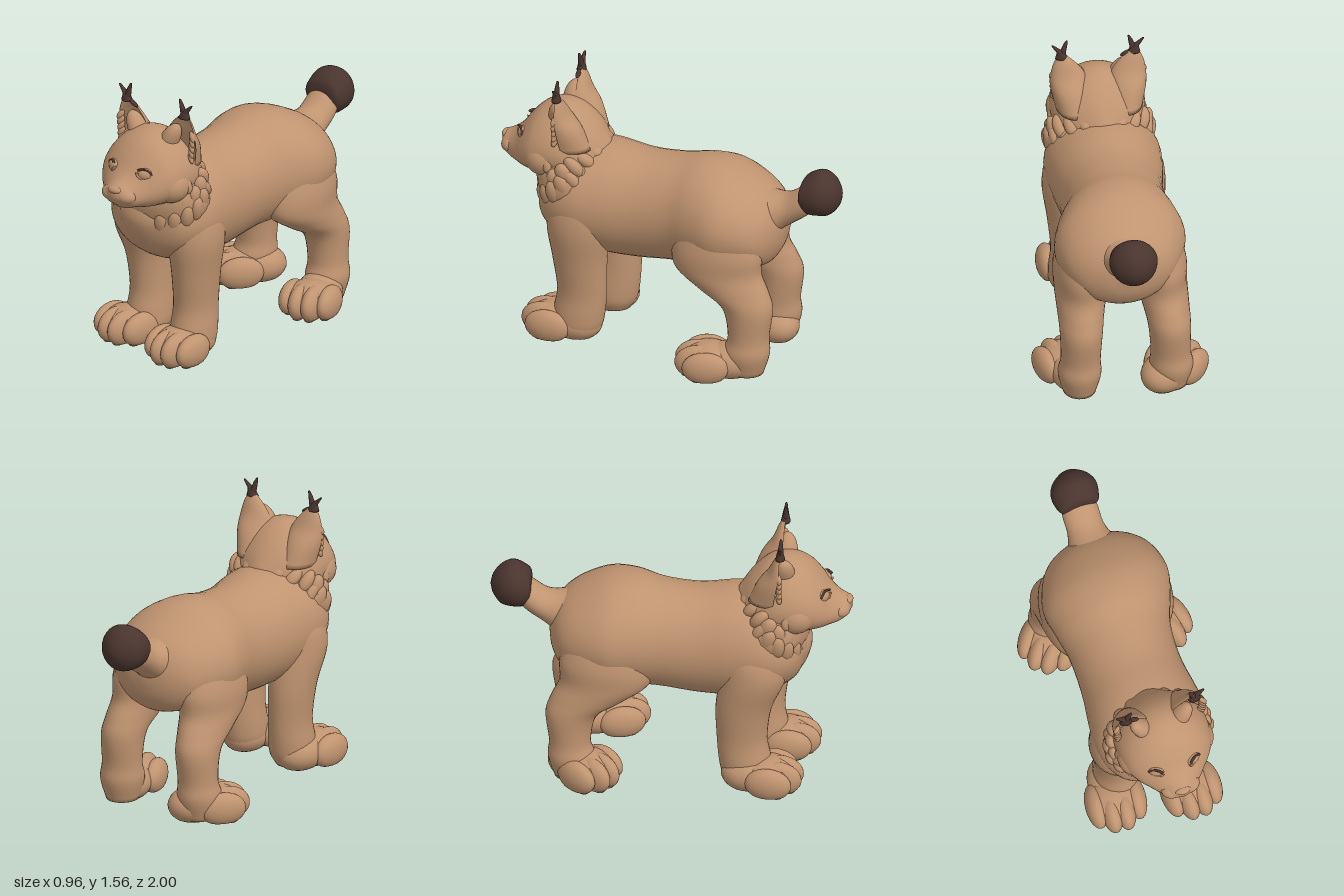
import * as THREE from 'three';

const fur = new THREE.MeshStandardMaterial({ color: 0xc09470 });
fur.name = 'tan fur';
const dark = new THREE.MeshStandardMaterial({ color: 0x4a342e });
dark.name = 'dark brown fur';

const CX = -0.045; // the head and chest stand slightly off the middle

// Smooth skin over elliptical sections [x, y, z, radiusA, radiusB].
// 'z': upright sections listed back to front. 'y': level sections listed top to bottom.
// cup pushes the front half of level sections inward, taper narrows the top of upright ones.
function loft(name, mat, axis, sections, { cup = 0, taper = 0, sides = 32 } = {}) {
  const path = new THREE.CatmullRomCurve3(sections.map(s => new THREE.Vector3(s[0], s[1], s[2])), false, 'catmullrom');
  const size = new THREE.CatmullRomCurve3(sections.map(s => new THREE.Vector3(s[3], s[4], 0)), false, 'catmullrom');
  const rows = (sections.length - 1) * 5;
  const pos = [], idx = [];
  for (let i = 0; i <= rows; i++) {
    const c = path.getPoint(i / rows), r = size.getPoint(i / rows);
    const a = Math.max(r.x, 0.001), b = Math.max(r.y, 0.001);
    for (let j = 0; j < sides; j++) {
      const t = j / sides * Math.PI * 2;
      const u = a * Math.cos(t) * (1 - taper * Math.sin(t));
      let v = b * Math.sin(t);
      if (cup && v > 0) v *= -cup;
      if (axis === 'z') pos.push(c.x + u, c.y + v, c.z);
      else pos.push(c.x + u, c.y, c.z + v);
      if (i < rows) {
        const k = i * sides + j, n = i * sides + (j + 1) % sides;
        idx.push(k, n, k + sides, n, n + sides, k + sides);
      }
    }
  }
  const last = pos.length / 3;
  const s0 = path.getPoint(0), s1 = path.getPoint(1);
  pos.push(s0.x, s0.y, s0.z, s1.x, s1.y, s1.z);
  for (let j = 0; j < sides; j++) {
    const n = (j + 1) % sides, e = rows * sides;
    idx.push(last, n, j, last + 1, e + j, e + n);
  }
  const g = new THREE.BufferGeometry();
  g.setAttribute('position', new THREE.Float32BufferAttribute(pos, 3));
  g.setIndex(idx);
  g.computeVertexNormals();
  const m = new THREE.Mesh(g, mat);
  m.name = name;
  return m;
}

const sphere = new THREE.SphereGeometry(1, 24, 16);
// Sphere with a flat underside, for paws
const flatSphere = sphere.clone();
const fp = flatSphere.attributes.position;
for (let i = 0; i < fp.count; i++) fp.setY(i, Math.max(fp.getY(i), -0.8));
flatSphere.computeVertexNormals();

function ball(name, mat, p, r, rot = [0, 0, 0], geometry = sphere) {
  const m = new THREE.Mesh(geometry, mat);
  m.name = name;
  m.position.set(...p);
  m.scale.set(...r);
  m.rotation.set(...rot);
  return m;
}

// Lock of fur: a long ellipsoid laid along a direction
const UP = new THREE.Vector3(0, 1, 0);
function lock(name, p, dir, width, length) {
  const m = ball(name, fur, p, [width, length, width * 0.8]);
  m.quaternion.setFromUnitVectors(UP, new THREE.Vector3(...dir).normalize());
  return m;
}

// Four-toed paw pointing along +z, with pads underneath
function paw(name, x, z, turn) {
  const g = new THREE.Group();
  g.name = name;
  const none = [0, 0, 0];
  g.add(ball('pawHeel', fur, [0, 0.092, 0.005], [0.125, 0.105, 0.15], none, flatSphere));
  g.add(ball('pawTop', fur, [0, 0.088, 0.12], [0.155, 0.104, 0.16], none, flatSphere));
  for (const i of [-1.5, -0.5, 0.5, 1.5]) {
    const outer = Math.abs(i) > 1;
    g.add(ball('toe', fur, [i * 0.074, 0.088, outer ? 0.135 : 0.18],
      [0.06, outer ? 0.094 : 0.1, 0.13], none, flatSphere));
    g.add(ball('toePad', fur, [i * 0.07, 0.013, outer ? 0.18 : 0.235], [0.028, 0.012, 0.035]));
  }
  g.add(ball('solePad', fur, [0, 0.012, 0.08], [0.08, 0.012, 0.06]));
  g.position.set(x, 0, z);
  g.rotation.y = turn;
  return g;
}

function makeLegs() {
  const g = new THREE.Group();
  g.name = 'legs';
  for (const s of [1, -1]) {
    const side = s > 0 ? 'left' : 'right', back = s > 0 ? 0 : -0.07;
    const fx = v => -0.055 + s * (v + 0.055), hx = v => -0.01 + s * (v + 0.01);
    g.add(loft(side + 'FrontLeg', fur, 'y', [
      [0.1, 0.98, 0.47, 0.04, 0.05], [0.125, 0.86, 0.48, 0.13, 0.16], [0.14, 0.7, 0.485, 0.145, 0.18],
      [0.135, 0.5, 0.48, 0.125, 0.155], [0.125, 0.3, 0.47, 0.115, 0.14], [0.125, 0.17, 0.485, 0.123, 0.145],
      [0.125, 0.09, 0.495, 0.12, 0.14], [0.125, 0.03, 0.5, 0.09, 0.11],
    ].map(([x, y, z, a, b]) => [fx(x), y, z + back * (y < 0.6 ? 1 : 0.3), a, b])));
    g.add(paw(side + 'FrontPaw', s > 0 ? 0.125 : -0.275, 0.5 + back, s > 0 ? 0 : -0.1));
    g.add(loft(side + 'HindLeg', fur, 'y', [
      [0.14, 1.02, -0.35, 0.05, 0.08], [0.175, 0.9, -0.35, 0.13, 0.2], [0.205, 0.75, -0.35, 0.15, 0.255],
      [0.212, 0.62, -0.355, 0.145, 0.25], [0.225, 0.52, -0.395, 0.13, 0.205], [0.235, 0.42, -0.455, 0.118, 0.145],
      [0.24, 0.25, -0.465, 0.11, 0.115], [0.245, 0.15, -0.455, 0.12, 0.13], [0.245, 0.03, -0.45, 0.09, 0.1],
    ].map(([x, y, z, a, b]) => [hx(x), y, z + (y < 0.5 ? -0.08 : y < 0.6 ? -0.05 : 0), a, b])));
    g.add(s > 0 ? paw('leftHindPaw', 0.26, -0.45, 0.28) : paw('rightHindPaw', -0.225, -0.535, -0.68));
  }
  return g;
}

function makeRuff() {
  const g = new THREE.Group();
  g.name = 'neckRuff';
  g.add(ball('neck', fur, [CX, 0.95, 0.565], [0.31, 0.23, 0.205]));
  // Two rings of locks, tilted from the nape down to the chest
  for (const [count, grow, drop, len] of [[20, 0.97, -0.01, 0.085], [18, 0.92, 0.06, 0.075]]) {
    for (let i = 0; i < count; i++) {
      const t = (i + 0.5) / count * Math.PI * 2;
      const c = Math.cos(t), f = Math.sin(t); // f = 1 at the chest, -1 at the nape
      const p = [CX + c * 0.28 * grow, 0.95 - f * 0.13 * grow + drop, 0.57 + f * 0.15 * grow];
      const n = Math.max(-f, 0), w = Math.max(f, 0);
      g.add(lock('ruffLock', p, [-c * 0.3, -1 + 0.5 * n, -0.15 - 0.8 * n - 0.2 * w], 0.05, len));
    }
  }
  // Bib of longer fur on the chest, pointed at the bottom
  g.add(loft('chestBib', fur, 'y', [
    [CX - 0.02, 0.95, 0.66, 0.12, 0.08], [CX - 0.02, 0.84, 0.665, 0.17, 0.11], [CX - 0.02, 0.73, 0.65, 0.14, 0.1],
    [CX - 0.02, 0.65, 0.62, 0.08, 0.085], [CX - 0.02, 0.59, 0.6, 0.02, 0.04],
  ]));
  for (const s of [-1, 1]) for (let i = 0; i < 3; i++)
    g.add(lock('bibLock', [CX + s * (0.1 + i * 0.05), 0.765 + i * 0.045, 0.665 - i * 0.035], [-s * 0.4, -1, -0.45], 0.055, 0.1));
  return g;
}

function makeHead() {
  const g = new THREE.Group();
  g.name = 'head';
  g.position.x = CX;
  g.add(loft('skull', fur, 'z', [
    [0, 1.08, 0.36, 0.06, 0.05], [0, 1.085, 0.45, 0.2, 0.17], [0, 1.13, 0.55, 0.25, 0.21],
    [0, 1.145, 0.65, 0.26, 0.215], [0, 1.13, 0.75, 0.245, 0.19], [0, 1.1, 0.82, 0.205, 0.15],
    [0, 1.07, 0.875, 0.155, 0.105], [0, 1.055, 0.925, 0.11, 0.078], [0, 1.06, 0.97, 0.075, 0.05], [0, 1.065, 0.992, 0.02, 0.02],
  ], { taper: 0.17 }));
  g.add(ball('nose', fur, [0, 1.09, 0.97], [0.045, 0.022, 0.027]));
  g.add(ball('chin', fur, [0, 0.995, 0.89], [0.08, 0.032, 0.05]));
  for (const s of [1, -1]) {
    g.add(ball('muzzleLobe', fur, [s * 0.045, 1.052, 0.927], [0.066, 0.046, 0.058]));
    g.add(ball('cheek', fur, [s * 0.18, 1.075, 0.69], [0.095, 0.1, 0.11]));
    // Eyes: bulging ball, lower lid and a thin dark upper lash line
    g.add(ball('eye', fur, [s * 0.107, 1.165, 0.838], [0.046, 0.036, 0.03], [0, s * 0.5, 0]));
    for (const [name, mat, tube, from, sweep, z] of [
      ['lowerLid', fur, 0.008, Math.PI, Math.PI, 0.848], ['upperLash', dark, 0.0085, 0.3, 2.2, 0.86]]) {
      const m = new THREE.Mesh(new THREE.TorusGeometry(0.043, tube, 8, 20, sweep), mat);
      m.name = name;
      m.geometry.rotateZ(s > 0 ? from : Math.PI - from - sweep);
      m.geometry.scale(1, 0.7, 1);
      m.position.set(s * 0.112, 1.17, z);
      m.rotation.set(-0.35, s * 0.65, 0);
      g.add(m);
    }
    // Cheek fur
    for (let i = 0; i < 4; i++)
      g.add(lock('cheekLock', [s * (0.235 - i * 0.022), 1.085 - i * 0.03, 0.655 + i * 0.015], [s * 0.5, -1, -0.25], 0.038, 0.065));
    // Ear: broad cupped shell with a fringe on its outer edge
    g.add(loft('ear', fur, 'y', [
      [s * 0.203, 1.48, 0.61, 0.012, 0.012], [s * 0.187, 1.42, 0.607, 0.06, 0.038], [s * 0.17, 1.35, 0.602, 0.094, 0.065],
      [s * 0.16, 1.27, 0.59, 0.105, 0.11], [s * 0.14, 1.15, 0.57, 0.1, 0.14],
    ], { cup: 0.25 }));
    for (let i = 0; i < 5; i++)
      g.add(lock('earFringe', [s * (0.243 + i * 0.002), 1.22 + i * 0.032, 0.605], [s * 0.5, -1, 0.2], 0.018, 0.032));
    // Smooth rise from the forehead into the inner side of the ear
    g.add(ball('earRoot', fur, [s * 0.107, 1.3, 0.625], [0.052, 0.12, 0.06], [0, 0, -s * 0.5]));
    // Forked dark ear tuft
    g.add(loft('earTuftOuter', dark, 'y', [
      [s * 0.252, 1.535, 0.61, 0.006, 0.006], [s * 0.23, 1.512, 0.61, 0.014, 0.012],
      [s * 0.207, 1.487, 0.61, 0.022, 0.019], [s * 0.2, 1.45, 0.61, 0.037, 0.027],
    ], { sides: 14 }));
    g.add(loft('earTuftInner', dark, 'y', [
      [s * 0.172, 1.557, 0.613, 0.006, 0.006], [s * 0.183, 1.525, 0.612, 0.013, 0.012], [s * 0.2, 1.465, 0.61, 0.02, 0.02],
    ], { sides: 14 }));
  }
  // Dark fur running a little way down the inner rim of the right ear
  g.add(ball('earTuftRim', dark, [-0.155, 1.445, 0.612], [0.034, 0.011, 0.014], [0, 0, -0.5]));
  return g;
}

export function createModel() {
  const cat = new THREE.Group();
  cat.name = 'wildCat';
  cat.add(loft('body', fur, 'z', [
    [0, 0.82, -0.675, 0.03, 0.03], [0, 0.82, -0.655, 0.14, 0.12], [0, 0.82, -0.6, 0.25, 0.2],
    [0, 0.84, -0.5, 0.325, 0.25], [-0.01, 0.85, -0.35, 0.365, 0.305], [-0.02, 0.85, -0.2, 0.335, 0.315],
    [-0.035, 0.83, -0.05, 0.295, 0.305], [-0.045, 0.81, 0.15, 0.29, 0.31], [-0.05, 0.82, 0.35, 0.315, 0.32],
    [-0.05, 0.83, 0.5, 0.325, 0.3], [-0.05, 0.82, 0.62, 0.29, 0.24], [-0.05, 0.82, 0.71, 0.21, 0.16],
    [-0.05, 0.83, 0.755, 0.03, 0.03],
  ], { sides: 40 }));
  cat.add(makeLegs(), makeRuff(), makeHead());
  // Short tail with a round dark tip
  cat.add(loft('tail', fur, 'z', [
    [0, 1.05, -0.85, 0.08, 0.08], [0, 1.01, -0.785, 0.102, 0.095], [0, 0.945, -0.69, 0.106, 0.098],
    [0, 0.905, -0.6, 0.145, 0.13], [0, 0.885, -0.5, 0.22, 0.17], [0, 0.87, -0.4, 0.25, 0.2],
  ]));
  cat.add(loft('tailTip', dark, 'z', [
    [0, 1.075, -1, 0.01, 0.01], [0, 1.075, -0.985, 0.055, 0.06], [0, 1.075, -0.94, 0.11, 0.112],
    [0, 1.08, -0.88, 0.133, 0.13], [0, 1.07, -0.82, 0.124, 0.118], [0, 1.075, -0.785, 0.108, 0.08], [0, 1.07, -0.775, 0.07, 0.04],
  ]));
  return cat;
}
